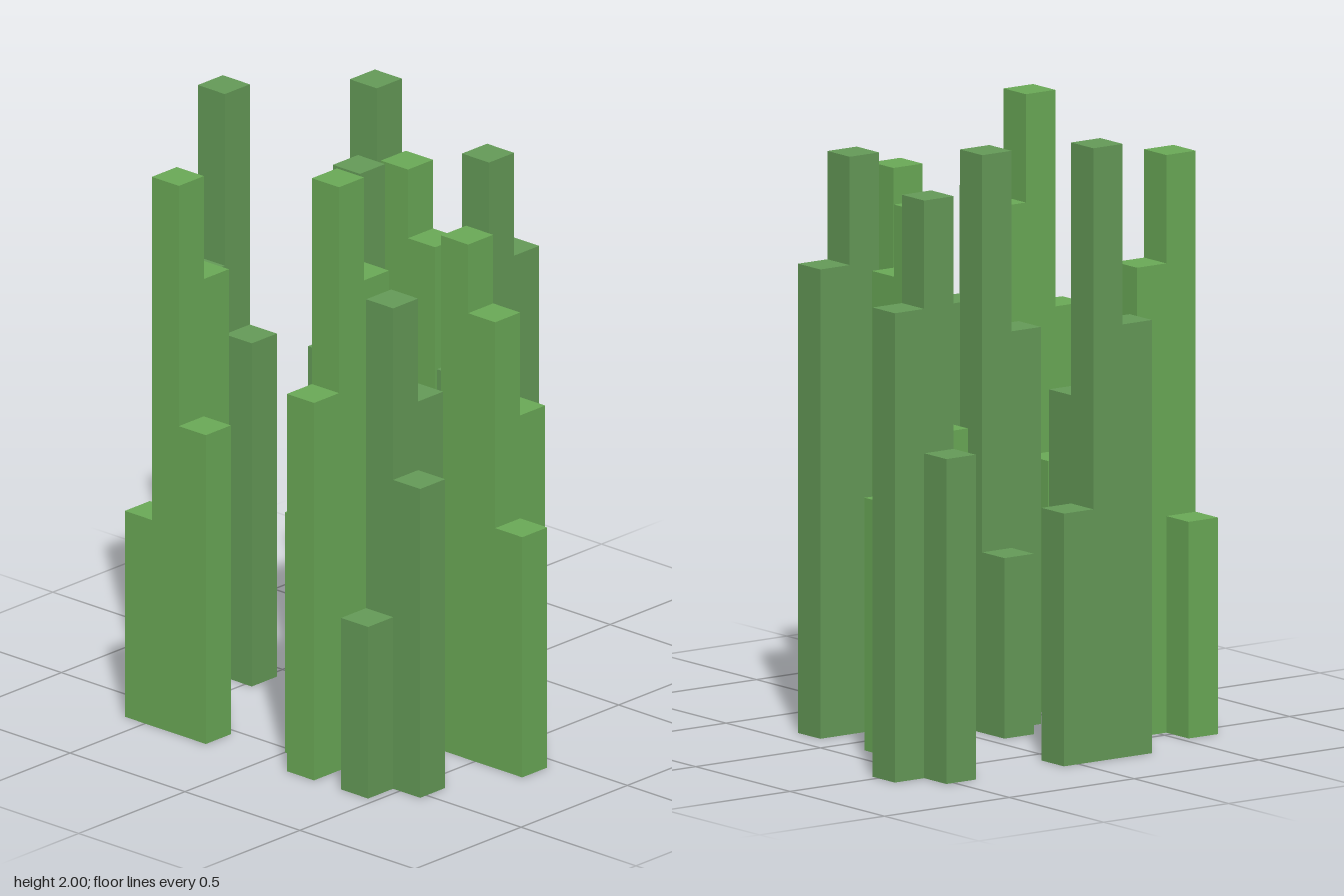
import * as THREE from 'three';

const UNIT = 2 / 17; // side of one square column
const COLS = 11, ROWS = 12;
const LIGHT = 0x6baa57, DARK = 0x659b58;

// Each T-shaped clump: colour and its stalks as [column, row, height] in units
const CLUMPS = [
  { name: 'backMiddleClump', color: DARK, stalks: [[3, 0, 12], [4, 0, 17], [5, 0, 7], [4, 1, 10]] },
  { name: 'backLeftSideClump', color: DARK, stalks: [[9, 0, 9], [9, 1, 16], [9, 2, 5], [10, 1, 13]] },
  { name: 'backRightSideClump', color: LIGHT, stalks: [[0, 1, 6], [0, 2, 16], [0, 3, 9], [1, 2, 13]] },
  { name: 'innerLeftClump', color: LIGHT, stalks: [[7, 3, 9], [7, 4, 15], [7, 5, 13], [8, 4, 7]] },
  { name: 'centreClump', color: DARK, stalks: [[4, 4, 5], [4, 5, 16], [4, 6, 8], [3, 5, 11]] },
  { name: 'innerRightClump', color: LIGHT, stalks: [[0, 7, 11], [1, 7, 17], [2, 7, 14], [1, 6, 7]] },
  { name: 'frontLeftClump', color: DARK, stalks: [[6, 7, 10], [7, 7, 16], [8, 7, 13], [7, 8, 6]] },
  { name: 'frontRightClump', color: DARK, stalks: [[0, 9, 5], [1, 9, 14], [2, 9, 11], [1, 10, 9]] },
  { name: 'frontMiddleClump', color: LIGHT, stalks: [[4, 9, 15], [4, 10, 13], [4, 11, 7], [5, 10, 10]] },
];

// One square stalk standing on the ground in a grid cell
function makeStalk([col, row, height], material) {
  const h = height * UNIT;
  const stalk = new THREE.Mesh(new THREE.BoxGeometry(UNIT, h, UNIT), material);
  stalk.position.set((col + 0.5 - COLS / 2) * UNIT, h / 2, (row + 0.5 - ROWS / 2) * UNIT);
  stalk.name = 'stalk';
  return stalk;
}

export function createModel() {
  const model = new THREE.Group();
  model.name = 'blockGrass';
  for (const { name, color, stalks } of CLUMPS) {
    const clump = new THREE.Group();
    clump.name = name;
    const material = new THREE.MeshStandardMaterial({ color });
    for (const stalk of stalks) clump.add(makeStalk(stalk, material));
    model.add(clump);
  }
  return model;
}
